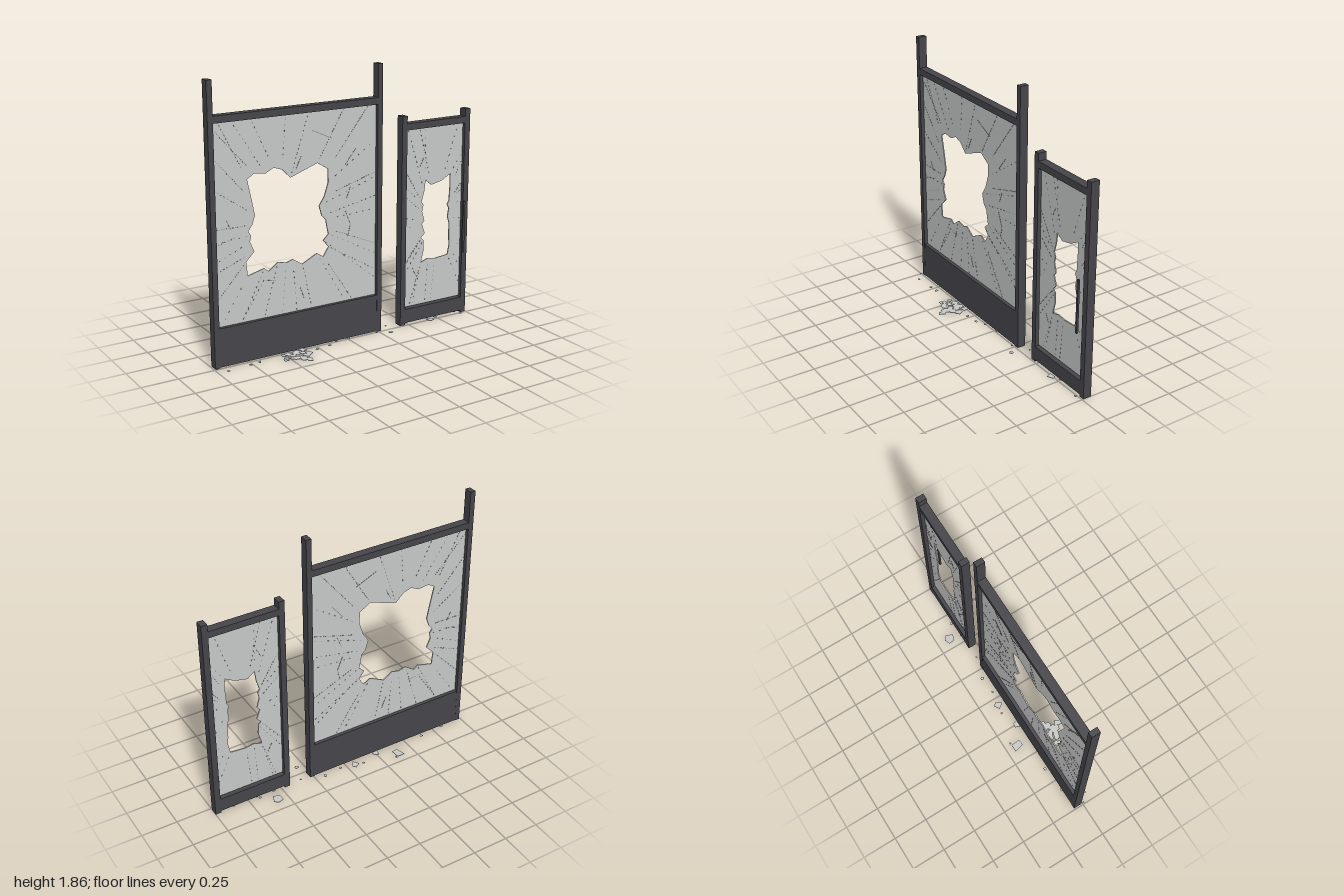
import * as THREE from 'three';
import { mergeGeometries } from 'three/addons/utils/BufferGeometryUtils.js';

const Z = -0.04;      // middle plane of both frames
const DEPTH = 0.06;
const GLASS = 0.008;

// small seeded generator for crack and shard variation
function makeRandom(seed) {
  return () => {
    seed = (seed * 16807) % 2147483647;
    return seed / 2147483647;
  };
}

function toPoints(flat) {
  const pts = [];
  for (let i = 0; i < flat.length; i += 2) pts.push(new THREE.Vector2(flat[i], flat[i + 1]));
  return pts;
}

// jagged hole outlines, as x, y pairs
const WINDOW_HOLE = toPoints([
  -.72, 1.21, -.67, 1.24, -.59, 1.23, -.53, 1.26, -.47, 1.24, -.41, 1.18, -.21, 1.25, -.13, 1.2,
  -.13, 1.11, -.16, 1.02, -.2, .96, -.18, .89, -.15, .86, -.14, .8, -.13, .76, -.17, .72,
  -.13, .67, -.17, .61, -.22, .64, -.33, .585, -.4, .63, -.45, .615, -.51, .63, -.58, .58,
  -.61, .605, -.73, .575, -.74, .67, -.68, .73, -.71, .8, -.7, .84, -.72, .87, -.69, .91,
  -.67, .97, -.69, 1.07]);
const DOOR_HOLE = toPoints([
  .65, 1.02, .7, .98, .79, 1, .86, 1.04, .86, .94, .855, .845, .84, .82, .855, .79,
  .845, .73, .86, .68, .86, .58, .865, .52, .85, .45, .74, .44, .68, .45, .62, .43,
  .645, .52, .64, .59, .62, .61, .65, .64, .625, .71, .645, .73, .625, .8, .635, .845,
  .62, .87, .64, .94]);

export function createModel() {
  const model = new THREE.Group();
  const frameMat = new THREE.MeshStandardMaterial({ color: 0x46454a });
  frameMat.name = 'charcoal frame';
  const glassMat = new THREE.MeshStandardMaterial({ color: 0xc8cac9 });
  glassMat.name = 'pale glass';
  const crackMat = new THREE.MeshStandardMaterial({ color: 0x858787 });
  crackMat.name = 'crack grey';

  function add(parent, name, geo, mat) {
    const mesh = new THREE.Mesh(geo, mat);
    mesh.name = name;
    parent.add(mesh);
    return mesh;
  }

  // box given by its x and y limits
  function bar(parent, name, x0, x1, y0, y1, z = Z, depth = DEPTH) {
    const geo = new THREE.BoxGeometry(x1 - x0, y1 - y0, depth);
    geo.translate((x0 + x1) / 2, (y0 + y1) / 2, z);
    return add(parent, name, geo, frameMat);
  }

  // glass sheet with a jagged hole
  function pane(parent, x0, x1, y0, y1, hole) {
    const shape = new THREE.Shape(toPoints([x0, y0, x1, y0, x1, y1, x0, y1]));
    shape.holes.push(new THREE.Path(hole));
    const geo = new THREE.ExtrudeGeometry(shape, { depth: GLASS, bevelEnabled: false });
    geo.translate(0, 0, Z - GLASS / 2);
    add(parent, 'brokenGlass', geo, glassMat);
  }

  // thin mark that shows on both faces of the glass
  function mark(a, b, width) {
    const geo = new THREE.BoxGeometry(a.distanceTo(b), width, GLASS + 0.003);
    geo.rotateZ(Math.atan2(b.y - a.y, b.x - a.x));
    geo.translate((a.x + b.x) / 2, (a.y + b.y) / 2, Z);
    return geo;
  }

  // dotted cracks running from the hole out to the frame, plus solid cracks
  function cracks(parent, x0, x1, y0, y1, hole, seed, solid) {
    const rand = makeRandom(seed);
    const centre = hole.reduce((s, p) => s.add(p), new THREE.Vector2()).divideScalar(hole.length);
    const inside = p => p.x > x0 && p.x < x1 && p.y > y0 && p.y < y1;
    const marks = [];
    for (const start of hole) {
      const dir = start.clone().sub(centre).normalize();
      dir.rotateAround(new THREE.Vector2(), (rand() - 0.5) * 0.5);
      const pitch = 0.014 + rand() * 0.04;
      const dash = Math.min(0.012, pitch * 0.5);
      for (let d = 0.02 + rand() * 0.08; d < 1; d += pitch) {
        const a = start.clone().addScaledVector(dir, d);
        const b = a.clone().addScaledVector(dir, dash);
        if (!inside(a) || !inside(b)) break;
        marks.push(mark(a, b, 0.004));
      }
    }
    for (const line of solid) {
      const pts = toPoints(line);
      for (let i = 1; i < pts.length; i++) marks.push(mark(pts[i - 1], pts[i], 0.004));
    }
    add(parent, 'glassCracks', mergeGeometries(marks), crackMat);
  }

  // large window frame
  const windowFrame = new THREE.Group();
  windowFrame.name = 'windowFrame';
  model.add(windowFrame);
  bar(windowFrame, 'rightPost', -.99, -.953, 0, 1.86);
  bar(windowFrame, 'leftPost', .238, .275, 0, 1.86);
  bar(windowFrame, 'topRail', -.953, .238, 1.592, 1.638);
  bar(windowFrame, 'lowerPanel', -.953, .238, .004, .268, Z, DEPTH - .002);
  pane(windowFrame, -.953, .238, .268, 1.592, WINDOW_HOLE);
  cracks(windowFrame, -.953, .238, .268, 1.592, WINDOW_HOLE, 17, [
    [.08, 1.31, .03, 1.25, 0, 1.21],
    [.04, 1.06, .01, .98],
    [0, .9, .04, .8, .02, .72],
    [-.25, 1.47, -.1, 1.4],
    [-.37, 1.23, -.33, 1.31],
    [-.6, .52, -.53, .51],
    [-.35, .43, -.32, .35],
    [-.87, .96, -.84, .9]]);

  // narrow door
  const door = new THREE.Group();
  door.name = 'door';
  model.add(door);
  bar(door, 'rightPost', .435, .475, 0, 1.49);
  bar(door, 'leftPost', .958, 1, 0, 1.49);
  bar(door, 'topRail', .475, .958, 1.392, 1.438);
  bar(door, 'bottomRail', .475, .958, .015, .115);
  pane(door, .475, .958, .122, 1.392, DOOR_HOLE);
  cracks(door, .475, .958, .122, 1.392, DOOR_HOLE, 91, [[.6, 1.12, .63, 1.18], [.55, .4, .58, .34]]);
  bar(door, 'handle', .937, .952, .465, .84, .018, .013);

  // fallen shards: x, z, radius
  const shards = [
    [-.385, -.165, .045], [.58, -.155, .042], [-.06, -.12, .035], [-.25, -.08, .03], [.68, .005, .03],
    [.305, .065, .018], [-.64, -.09, .015], [.18, -.11, .013], [.05, -.1, .01], [-.12, -.13, .01],
    [-.35, -.2, .01], [.67, -.08, .012], [-.93, .06, .012], [-.77, .05, .012], [-.7, .045, .016],
    [-.27, .045, .014], [-.17, .04, .014], [-.1, .01, .012], [.23, .008, .012], [.345, -.06, .008],
    [-.99, .01, .008], [.945, .01, .01], [-.36, .015, .03]];
  const rand = makeRandom(5);
  // heap below the window hole
  const heap = [-.52, .04, -.48, .03, -.43, .04, -.39, .06, -.35, .07, -.52, .08, -.47, .07, -.43, .09,
    -.38, .1, -.46, .12, -.42, .13, -.4, .175, -.49, .11, -.53, .1, -.41, .02];
  for (const p of toPoints(heap)) shards.push([p.x, p.y, .022 + rand() * .016]);
  // splinters directly under the frames
  for (let i = 0; i < 24; i++) {
    shards.push([i < 16 ? -.9 + i * .07 : .5 + (i - 16) * .06, -.07 + rand() * .06, .008 + rand() * .012]);
  }
  const pieces = shards.map(([x, z, r], i) => {
    const sides = 4 + (i % 2);
    const turn = rand() * 6;
    const outline = [];
    for (let k = 0; k < sides; k++) {
      const a = turn + (k + rand() * .5) * Math.PI * 2 / sides;
      const d = r * (.75 + rand() * .35);
      outline.push(new THREE.Vector2(Math.cos(a) * d, Math.sin(a) * d));
    }
    const geo = new THREE.ExtrudeGeometry(new THREE.Shape(outline), { depth: .004, bevelEnabled: false });
    geo.rotateX(-Math.PI / 2);
    geo.translate(x, (i % 3) * .003, z);
    return geo;
  });
  add(model, 'floorShards', mergeGeometries(pieces), glassMat);

  return model;
}
